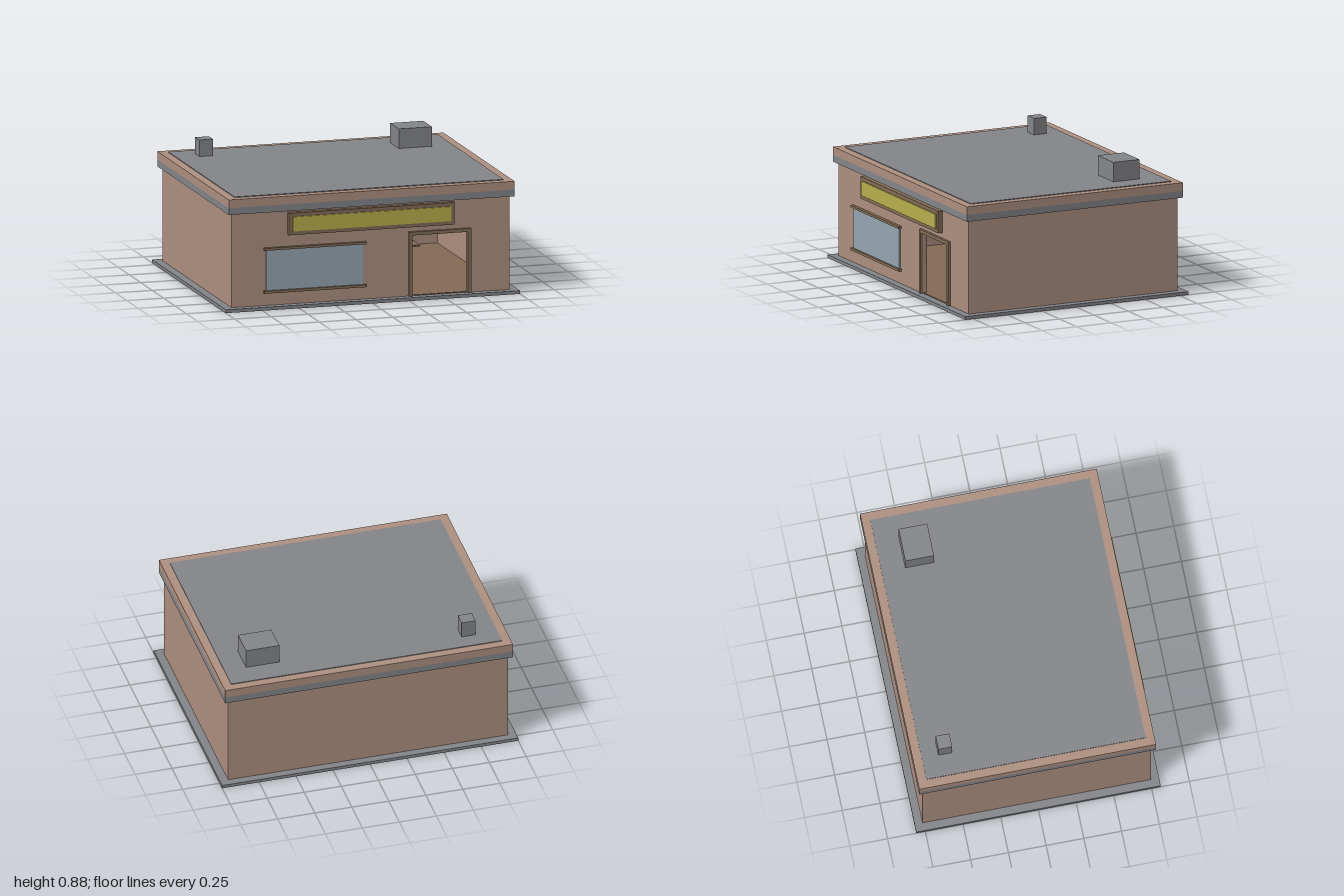
import * as THREE from 'three';

const mat = (name, color) => {
  const m = new THREE.MeshStandardMaterial({ color });
  m.name = name;
  return m;
};

export function createModel() {
  const pink = mat('clayWall', 0xae9080);
  const grey = mat('concreteGrey', 0x85868a);
  const wood = mat('brownWood', 0x836c56);
  const yellow = mat('signYellow', 0xb9b04c);
  const blue = mat('windowBlue', 0x97a6b2);

  const model = new THREE.Group();
  model.name = 'shop';

  // Box given by its lower and upper limits on each axis
  const box = (name, material, [x0, x1], [y0, y1], [z0, z1], parent = model) => {
    const mesh = new THREE.Mesh(new THREE.BoxGeometry(x1 - x0, y1 - y0, z1 - z0), material);
    mesh.position.set((x0 + x1) / 2, (y0 + y1) / 2, (z0 + z1) / 2);
    mesh.name = name;
    parent.add(mesh);
    return mesh;
  };
  const group = (name) => {
    const g = new THREE.Group();
    g.name = name;
    model.add(g);
    return g;
  };

  // Ground slab and interior floor
  box('foundation', grey, [-1, 1], [0, 0.022], [-0.81, 0.81]);
  box('floor', wood, [-0.915, 0.915], [0.022, 0.028], [-0.727, 0.755]);

  // Walls: back and sides, then a front wall with a doorway
  const walls = group('walls');
  box('backWall', pink, [-0.945, 0.945], [0.022, 0.66], [-0.757, -0.727], walls);
  for (const s of [-1, 1]) {
    const x = s * 0.93;
    box(s > 0 ? 'leftWall' : 'rightWall', pink, [x - 0.015, x + 0.015], [0.022, 0.66], [-0.727, 0.727], walls);
  }
  const front = new THREE.Shape();
  [[-0.945, 0.022], [0.28, 0.022], [0.28, 0.43], [0.66, 0.43], [0.66, 0.022],
    [0.945, 0.022], [0.945, 0.66], [-0.945, 0.66]].forEach(([x, y], i) => (i ? front.lineTo(x, y) : front.moveTo(x, y)));
  const frontWall = new THREE.Mesh(new THREE.ExtrudeGeometry(front, { depth: 0.03, bevelEnabled: false }), pink);
  frontWall.position.z = 0.727;
  frontWall.name = 'frontWall';
  walls.add(frontWall);

  // Roof: grey band, coping and raised deck
  const roof = group('roof');
  box('corniceBand', grey, [-0.972, 0.972], [0.645, 0.69], [-0.784, 0.784], roof);
  box('coping', pink, [-0.972, 0.972], [0.69, 0.745], [-0.784, 0.784], roof);
  box('roofDeck', grey, [-0.915, 0.915], [0.74, 0.75], [-0.727, 0.727], roof);
  box('ventStack', grey, [-0.767, -0.673], [0.75, 0.86], [-0.616, -0.525], roof);
  box('airUnit', grey, [0.545, 0.77], [0.75, 0.88], [-0.57, -0.38], roof);

  // Sign board over the shop front
  const sign = group('sign');
  box('signBoard', wood, [-0.565, 0.562], [0.485, 0.632], [0.757, 0.789], sign);
  box('signPanel', yellow, [-0.54, 0.538], [0.51, 0.607], [0.789, 0.797], sign);

  // Shop window with head and sill rails
  const shopWindow = group('shopWindow');
  box('pane', blue, [-0.71, -0.05], [0.115, 0.4], [0.757, 0.766], shopWindow);
  box('windowHead', wood, [-0.728, -0.032], [0.39, 0.406], [0.757, 0.78], shopWindow);
  box('windowSill', wood, [-0.728, -0.032], [0.105, 0.122], [0.757, 0.78], shopWindow);

  // Door frame around the open doorway
  const doorFrame = group('doorFrame');
  box('rightJamb', wood, [0.257, 0.28], [0.022, 0.45], [0.73, 0.775], doorFrame);
  box('leftJamb', wood, [0.657, 0.68], [0.022, 0.45], [0.73, 0.775], doorFrame);
  box('lintel', wood, [0.28, 0.657], [0.427, 0.45], [0.73, 0.775], doorFrame);

  // Counter and till
  const counter = group('counter');
  box('counterBody', wood, [-0.45, 0.375], [0.028, 0.195], [-0.28, -0.08], counter);
  box('counterTop', wood, [-0.465, 0.385], [0.195, 0.208], [-0.3, -0.06], counter);
  box('till', grey, [0.2, 0.31], [0.208, 0.268], [-0.22, -0.12], counter);

  // Back shelves with goods: [material, height] repeated along each row
  const shelves = group('shelves');
  const rows = [
    { y: 0.055, goods: [[yellow, 0.06], [blue, 0.042], [wood, 0.052], [blue, 0.038]] },
    { y: 0.155, goods: [null, null, [wood, 0.062], [wood, 0.038]] },
    { y: 0.26, goods: [[grey, 0.055], [wood, 0.075], null, [wood, 0.075]] },
  ];
  for (const { y, goods } of rows) {
    box('shelfBoard', wood, [-0.75, 0.75], [y - 0.011, y], [-0.727, -0.58], shelves);
    for (let i = 0; i < 16; i++) {
      const item = goods[i % 4];
      if (!item) continue;
      const x = 0.4025 + (i - 12) * 0.0847;
      box('goods', item[0], [x - 0.028, x + 0.028], [y, y + item[1]], [-0.68, -0.61], shelves);
    }
  }
  return model;
}
